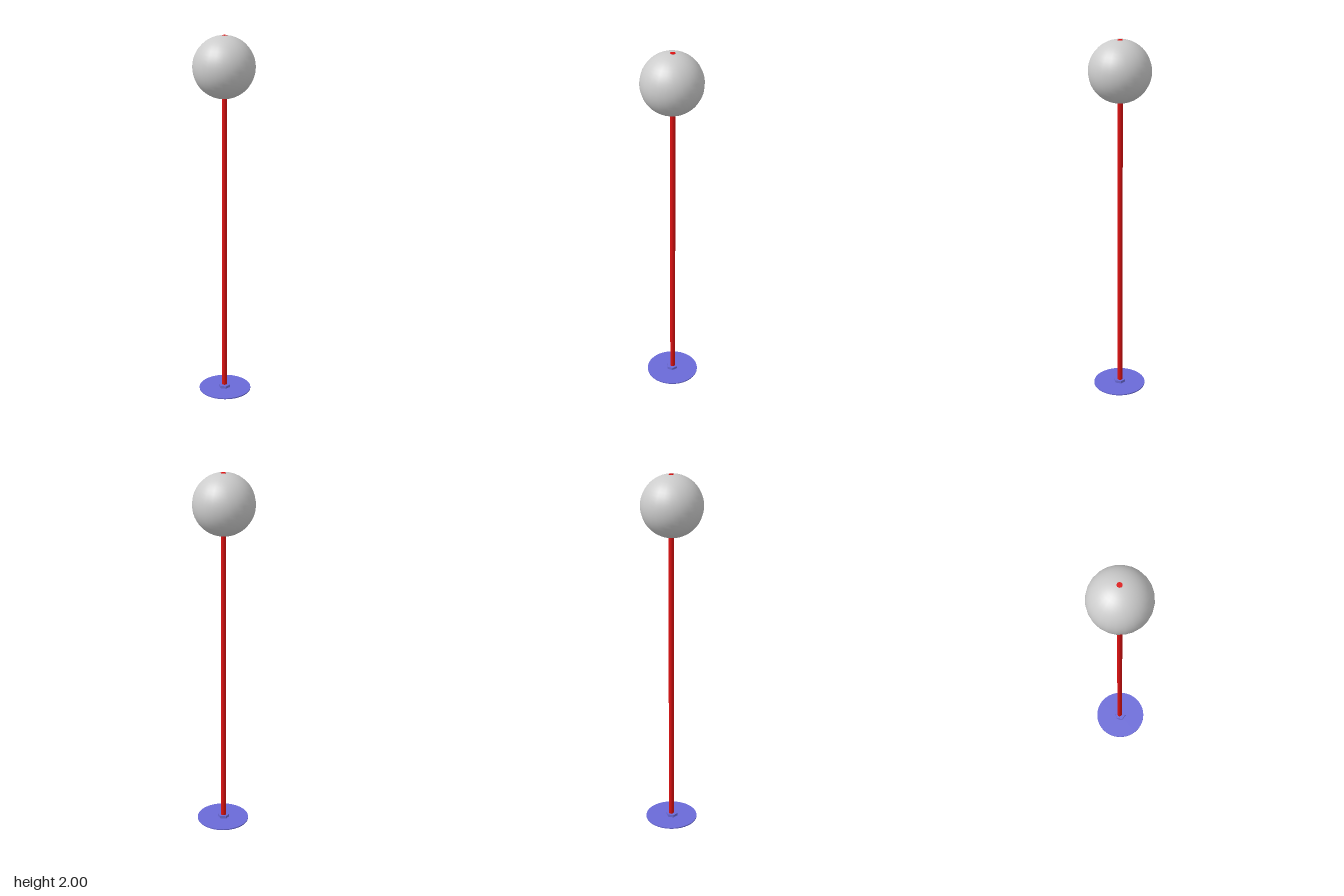
import * as THREE from 'three';

export function createModel() {
  const group = new THREE.Group();
  group.name = 'ballOnPole';

  const add = (name, geometry, color, x, y, z) => {
    const mesh = new THREE.Mesh(geometry, new THREE.MeshStandardMaterial({ color }));
    mesh.name = name;
    mesh.position.set(x, y, z);
    group.add(mesh);
    return mesh;
  };

  const blue = 0x6a6ad8;
  const red = 0xdd1111;

  // Thin round foot plate
  add('base', new THREE.CylinderGeometry(0.144, 0.144, 0.006, 48), blue, 0.004, 0.004, 0.004);

  // Hexagonal nut holding the pole, corners pointing along x
  const nut = new THREE.CylinderGeometry(0.032, 0.032, 0.016, 6);
  nut.rotateY(Math.PI / 6);
  add('nut', nut, blue, 0.001, 0.014, 0.002).material.flatShading = true;

  // Pole running from the underside of the plate through the top of the ball
  add('pole', new THREE.CylinderGeometry(0.014, 0.014, 2, 24), red, 0.004, 1, 0);

  // Ball
  add('ball', new THREE.SphereGeometry(0.164, 24, 24), 0xcccccc, 0, 1.836, 0);

  return group;
}
